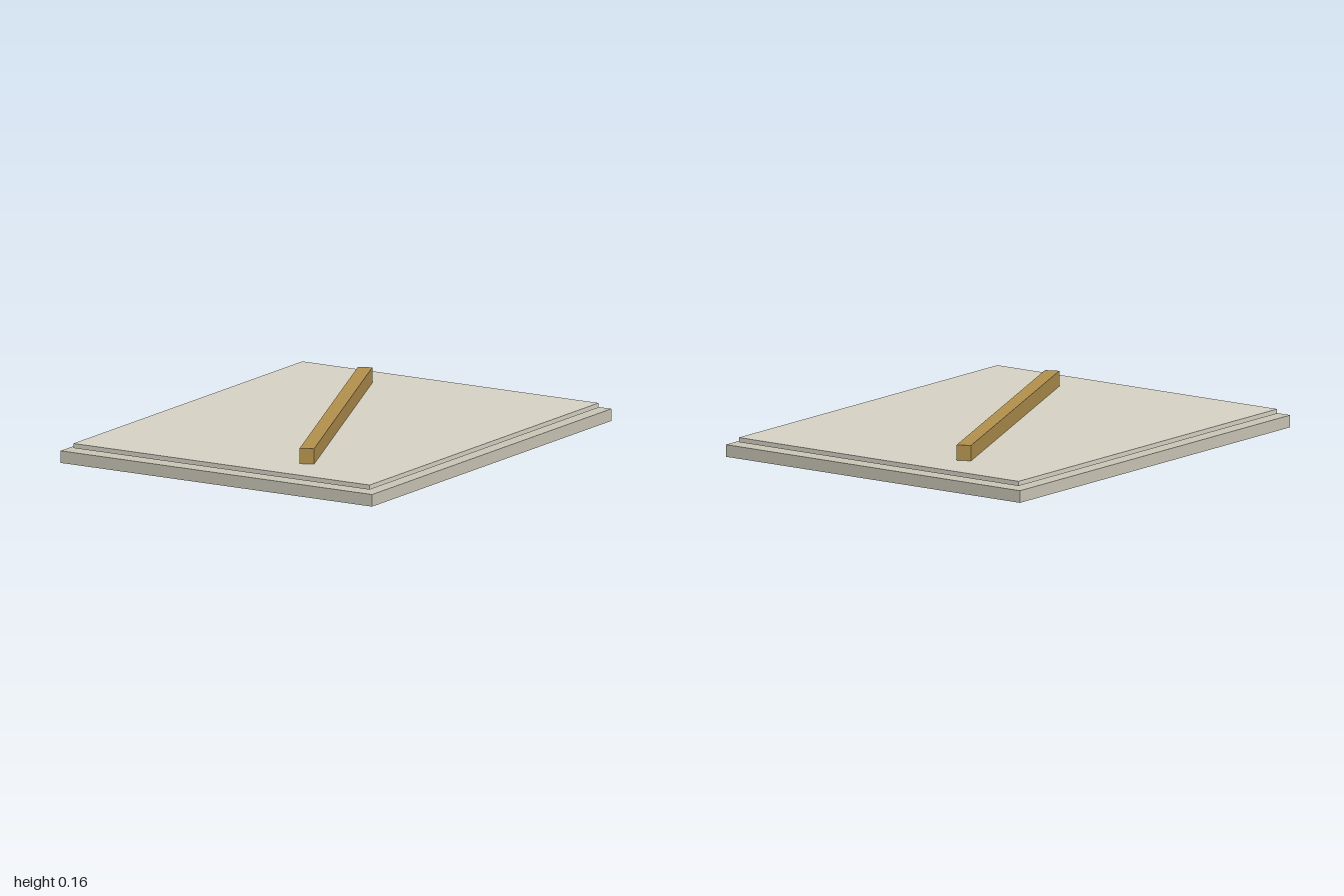
import * as THREE from 'three';

export function createModel() {
  const model = new THREE.Group();

  // Box part standing on a given height, centred on x and z
  const addBox = (name, width, height, depth, bottom, color) => {
    const mesh = new THREE.Mesh(
      new THREE.BoxGeometry(width, height, depth),
      new THREE.MeshStandardMaterial({ color })
    );
    mesh.name = name;
    mesh.position.y = bottom + height / 2;
    model.add(mesh);
    return mesh;
  };

  // Base slab
  addBox('baseSlab', 1.63, 0.055, 2, 0, 0xcbc8b8);

  // Thin panel held just above the slab by a narrow gap
  addBox('topPanel', 1.55, 0.021, 1.914, 0.064, 0xd8d4c6);

  // Slanted bar lying across the panel
  const bar = addBox('diagonalBar', 0.065, 0.07, 1.63, 0.085, 0xb4924e);
  bar.rotation.y = 0.4;

  return model;
}
